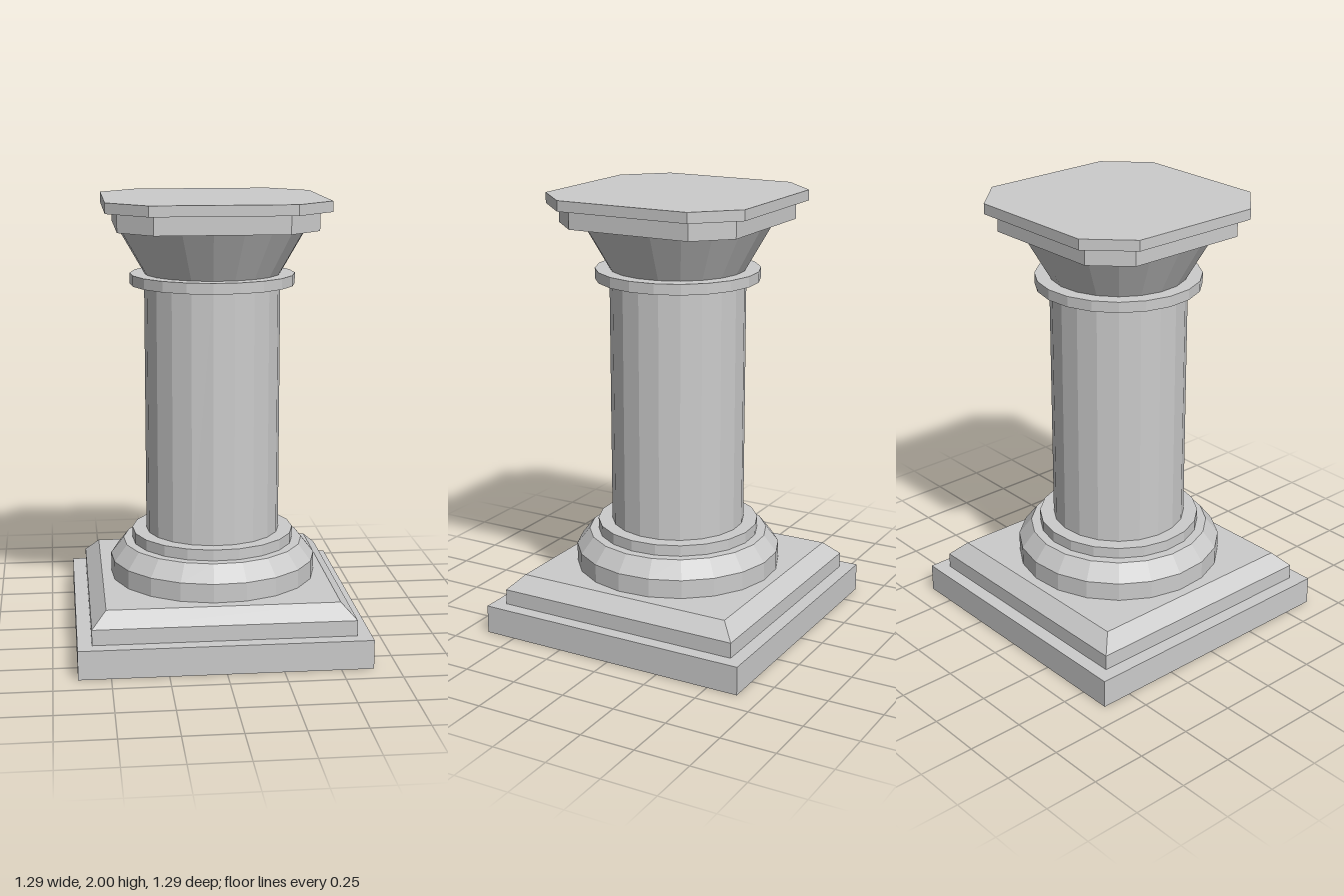
import * as THREE from 'three';

const SIDES = 20;
const TURN = THREE.MathUtils.degToRad(-5); // facet offset of the round parts
const stone = new THREE.MeshStandardMaterial({ color: 0xcccccc, flatShading: true });

export function createModel() {
  const column = new THREE.Group();
  column.name = 'column';

  const add = (name, geometry) => {
    const mesh = new THREE.Mesh(geometry, stone);
    mesh.name = name;
    column.add(mesh);
  };

  // Round, faceted drum between two heights
  const drum = (name, y0, y1, r0, r1 = r0) => {
    const g = new THREE.CylinderGeometry(r1, r0, y1 - y0, SIDES, 1, false, TURN);
    add(name, g.translate(0, (y0 + y1) / 2, 0));
  };

  // Square block whose half width may change from bottom to top
  const block = (name, y0, y1, h0, h1 = h0) => {
    const g = new THREE.CylinderGeometry(h1 * Math.SQRT2, h0 * Math.SQRT2, y1 - y0, 4, 1, false, Math.PI / 4);
    add(name, g.translate(0, (y0 + y1) / 2, 0));
  };

  // Square slab with cut corners: h is the half width, c the half length of a straight side
  const slab = (name, y0, y1, h, c) => {
    const corners = [[h, -c], [h, c], [c, h], [-c, h], [-h, c], [-h, -c], [-c, -h], [c, -h]];
    const shape = new THREE.Shape(corners.map(([x, y]) => new THREE.Vector2(x, y)));
    const g = new THREE.ExtrudeGeometry(shape, { depth: y1 - y0, bevelEnabled: false });
    add(name, g.rotateX(-Math.PI / 2).translate(0, y0, 0));
  };

  // Square base
  block('plinth', 0, 0.13, 0.643);
  block('plinthStep', 0.13, 0.2, 0.58);
  block('plinthBevel', 0.2, 0.265, 0.58, 0.515);

  // Round base mouldings
  drum('baseMoulding', 0.265, 0.35, 0.472);
  drum('baseMouldingSlope', 0.35, 0.425, 0.472, 0.413);
  drum('lowerRing', 0.425, 0.475, 0.371);

  // Shaft and neck
  drum('shaft', 0.475, 1.612, 0.306);
  drum('neckRing', 1.612, 1.66, 0.371);

  // Capital
  drum('capitalFlare', 1.66, 1.87, 0.306, 0.427);
  slab('lowerAbacus', 1.87, 1.953, 0.437, 0.29);
  slab('upperAbacus', 1.953, 2, 0.488, 0.314);

  return column;
}
